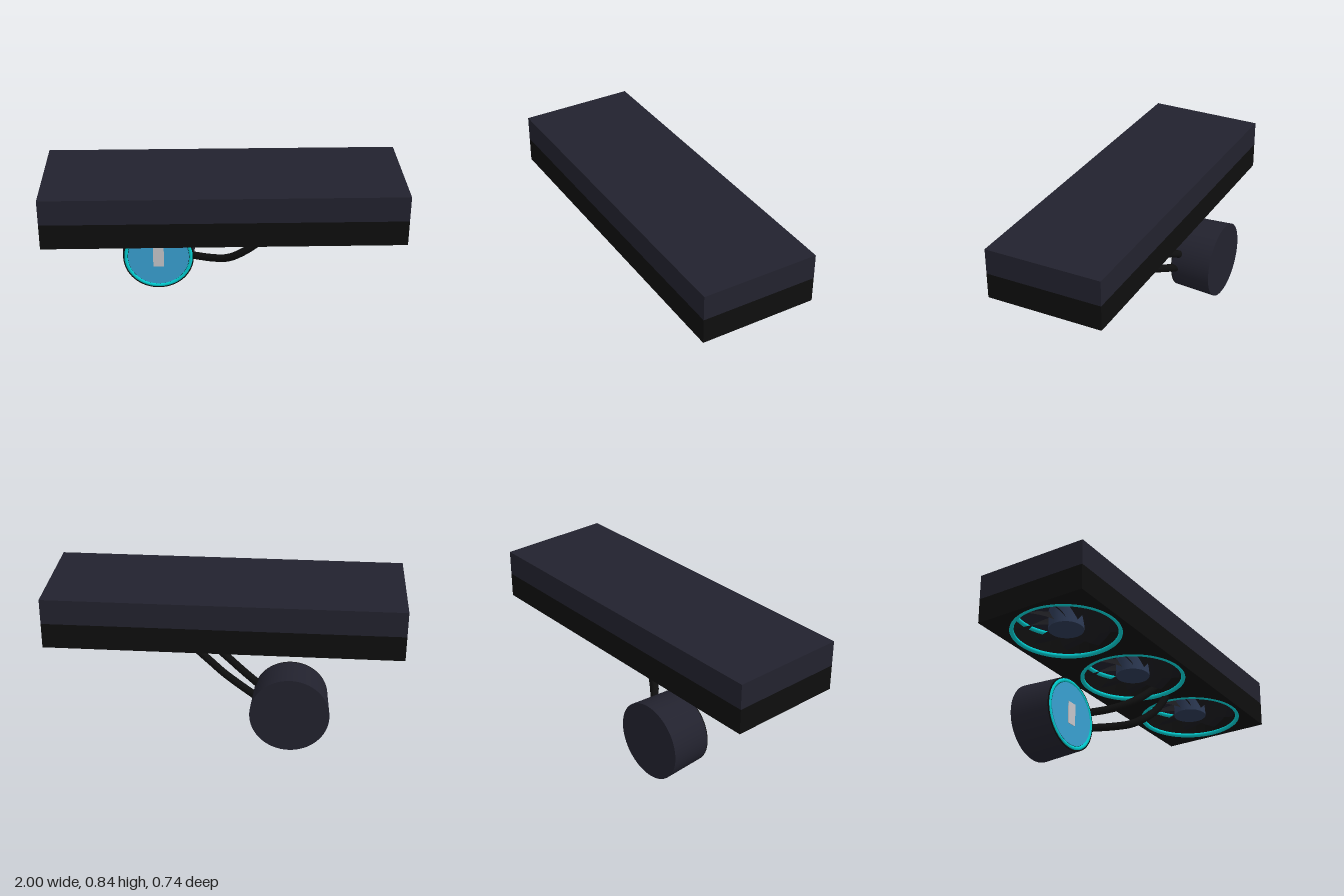
import * as THREE from 'three';
import { ParametricGeometry } from 'three/addons/geometries/ParametricGeometry.js';

const material = (name, color, extra = {}) => {
  const m = new THREE.MeshStandardMaterial({ color, ...extra });
  m.name = name;
  return m;
};

export function createModel() {
  const charcoal = material('charcoal metal', 0x22222e);
  const black = material('black plastic', 0x0e0e0e);
  const bladeGrey = material('blade grey', 0x1a1a1e, { side: THREE.DoubleSide });
  const slate = material('slate hub', 0x2d3a55);
  const cyan = material('cyan light', 0x00ced1);
  const blue = material('blue display', 0x389fd0);
  const pale = material('pale grey', 0xc4c4c8);

  const model = new THREE.Group();
  const add = (parent, name, geometry, mat, x = 0, y = 0, z = 0) => {
    const mesh = new THREE.Mesh(geometry, mat);
    mesh.name = name;
    mesh.position.set(x, y, z);
    parent.add(mesh);
    return mesh;
  };

  const midZ = 0.037, depth = 0.665, pitch = 2 / 3;
  const fanX = [-pitch, 0, pitch];

  // Radiator slab
  add(model, 'radiator', new THREE.BoxGeometry(2, 0.145, depth), charcoal, 0, 0.7725, midZ);

  // Fan housing: one slab with three round openings
  const outline = new THREE.Shape();
  outline.moveTo(-1, -depth / 2);
  outline.lineTo(1, -depth / 2);
  outline.lineTo(1, depth / 2);
  outline.lineTo(-1, depth / 2);
  outline.closePath();
  for (const x of fanX) {
    outline.holes.push(new THREE.Path().absarc(x, 0, 0.3, 0, Math.PI * 2, true));
  }
  const housing = new THREE.ExtrudeGeometry(outline, { depth: 0.145, bevelEnabled: false, curveSegments: 48 });
  housing.rotateX(-Math.PI / 2);
  add(model, 'fanHousing', housing, black, 0, 0.555, midZ);

  // Swept, pitched fan blade: u runs outward, v across the width
  const blade = new ParametricGeometry((u, v, target) => {
    const r = 0.085 + 0.195 * u;
    const a = 0.35 * u + (v - 0.5) * 0.54;
    target.set(r * Math.cos(a), (v - 0.5) * 0.07, r * Math.sin(a));
  }, 6, 4);
  const hub = new THREE.CylinderGeometry(0.097, 0.097, 0.115, 40);
  const ring = new THREE.TorusGeometry(0.294, 0.013, 10, 64).rotateX(Math.PI / 2);

  fanX.forEach((x) => {
    const fan = new THREE.Group();
    fan.name = 'fan';
    fan.position.set(x, 0.6275, midZ);
    add(fan, 'fanHub', hub, slate);
    for (const side of [-1, 1]) add(fan, 'fanLightRing', ring, cyan, 0, side * 0.0655, 0);
    for (let i = 0; i < 9; i++) {
      add(fan, 'fanBlade', blade, bladeGrey).rotation.y = (i * Math.PI * 2) / 9;
    }
    model.add(fan);
  });

  // Pump: slightly tapered drum facing forward
  const pump = new THREE.Group();
  pump.name = 'pump';
  pump.position.set(-0.38, 0.2225, 0);
  const drum = (front, back, length) =>
    new THREE.CylinderGeometry(front, back, length, 64).rotateX(Math.PI / 2);
  add(pump, 'pumpBody', drum(0.21, 0.2225, 0.24), charcoal, 0, 0, -0.25);
  add(pump, 'pumpBezel', drum(0.21, 0.21, 0.006), black, 0, 0, -0.128);
  add(pump, 'pumpLightRing', new THREE.TorusGeometry(0.193, 0.012, 10, 64), cyan, 0, 0, -0.131);
  add(pump, 'pumpDisplay', drum(0.181, 0.181, 0.006), blue, 0, 0, -0.125);
  add(pump, 'displayPanel', new THREE.BoxGeometry(0.064, 0.13, 0.004), pale, 0, 0.002, -0.121);
  model.add(pump);

  // Coolant hoses from the pump side up to the radiator
  const hoses = [
    [[0.34, 0.66, 0.012], [0.22, 0.56, 0.011], [0.08, 0.455, 0.007], [0, 0.4, -0.02], [-0.09, 0.35, -0.08], [-0.19, 0.31, -0.165]],
    [[0.4, 0.65, 0.065], [0.32, 0.55, 0.065], [0.2, 0.415, 0.062], [0.09, 0.325, 0.035], [0.02, 0.28, 0], [-0.07, 0.247, -0.065], [-0.18, 0.218, -0.152]],
  ];
  for (const points of hoses) {
    const curve = new THREE.CatmullRomCurve3(points.map((p) => new THREE.Vector3(...p)));
    add(model, 'hose', new THREE.TubeGeometry(curve, 48, 0.0225, 14), black);
    add(model, 'hoseEnd', new THREE.SphereGeometry(0.0225, 14, 10), black, ...points[points.length - 1]);
  }

  return model;
}
